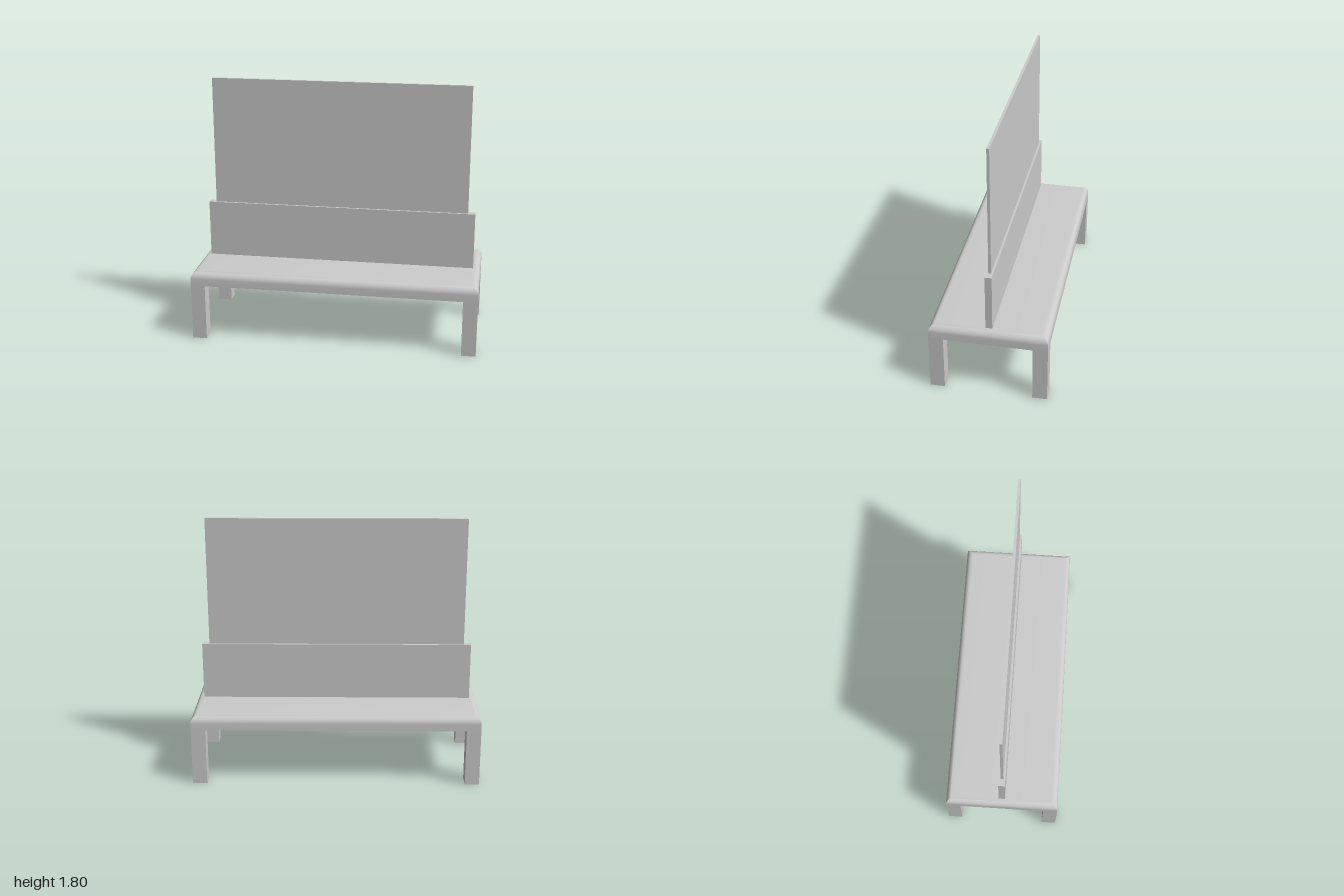
import * as THREE from 'three';
import { toCreasedNormals } from 'three/addons/utils/BufferGeometryUtils.js';

const material = new THREE.MeshStandardMaterial({ color: 0xcccccc });

function addBox(parent, name, width, height, depth, x, bottom, z) {
  const mesh = new THREE.Mesh(new THREE.BoxGeometry(width, height, depth), material);
  mesh.name = name;
  mesh.position.set(x, bottom + height / 2, z);
  parent.add(mesh);
}

// Slab with a flat underside, rounded top edges and mitred corners
function slabGeometry(width, depth, bottom, top, radius, steps) {
  const rings = [{ inset: 0, y: bottom }];
  for (let i = 0; i <= steps; i++) {
    const a = (i / steps) * Math.PI / 2;
    rings.push({ inset: radius * (1 - Math.cos(a)), y: top - radius + radius * Math.sin(a) });
  }
  const corners = [[-1, 1], [1, 1], [1, -1], [-1, -1]];
  const positions = [];
  for (const { inset, y } of rings) {
    for (const [sx, sz] of corners) {
      positions.push(sx * (width / 2 - inset), y, sz * (depth / 2 - inset));
    }
  }
  const index = [];
  const quad = (a, b, c, d) => index.push(a, b, c, a, c, d);
  for (let r = 0; r < rings.length - 1; r++) {
    for (let c = 0; c < 4; c++) {
      const n = (c + 1) % 4;
      quad(r * 4 + c, r * 4 + n, r * 4 + 4 + n, r * 4 + 4 + c);
    }
  }
  const last = (rings.length - 1) * 4;
  quad(last, last + 1, last + 2, last + 3);
  quad(3, 2, 1, 0);
  const geometry = new THREE.BufferGeometry();
  geometry.setAttribute('position', new THREE.Float32BufferAttribute(positions, 3));
  geometry.setIndex(index);
  return toCreasedNormals(geometry, 0.6);
}

export function createModel() {
  const model = new THREE.Group();
  model.name = 'bench';

  // Seat
  const seat = new THREE.Mesh(slabGeometry(2, 0.8, 0.4, 0.5, 0.05, 8), material);
  seat.name = 'seat';
  model.add(seat);

  // Four square legs flush with the seat corners
  for (const sx of [-1, 1]) {
    for (const sz of [-1, 1]) {
      const name = (sz > 0 ? 'front' : 'back') + (sx > 0 ? 'Left' : 'Right') + 'Leg';
      addBox(model, name, 0.1, 0.4, 0.1, sx * 0.95, 0, sz * 0.35);
    }
  }

  // Central backrest with a thin tall panel above it
  addBox(model, 'backrest', 1.9, 0.4, 0.046, 0, 0.5, 0);
  addBox(model, 'upperPanel', 1.8, 0.9, 0.018, 0, 0.9, 0);

  return model;
}
